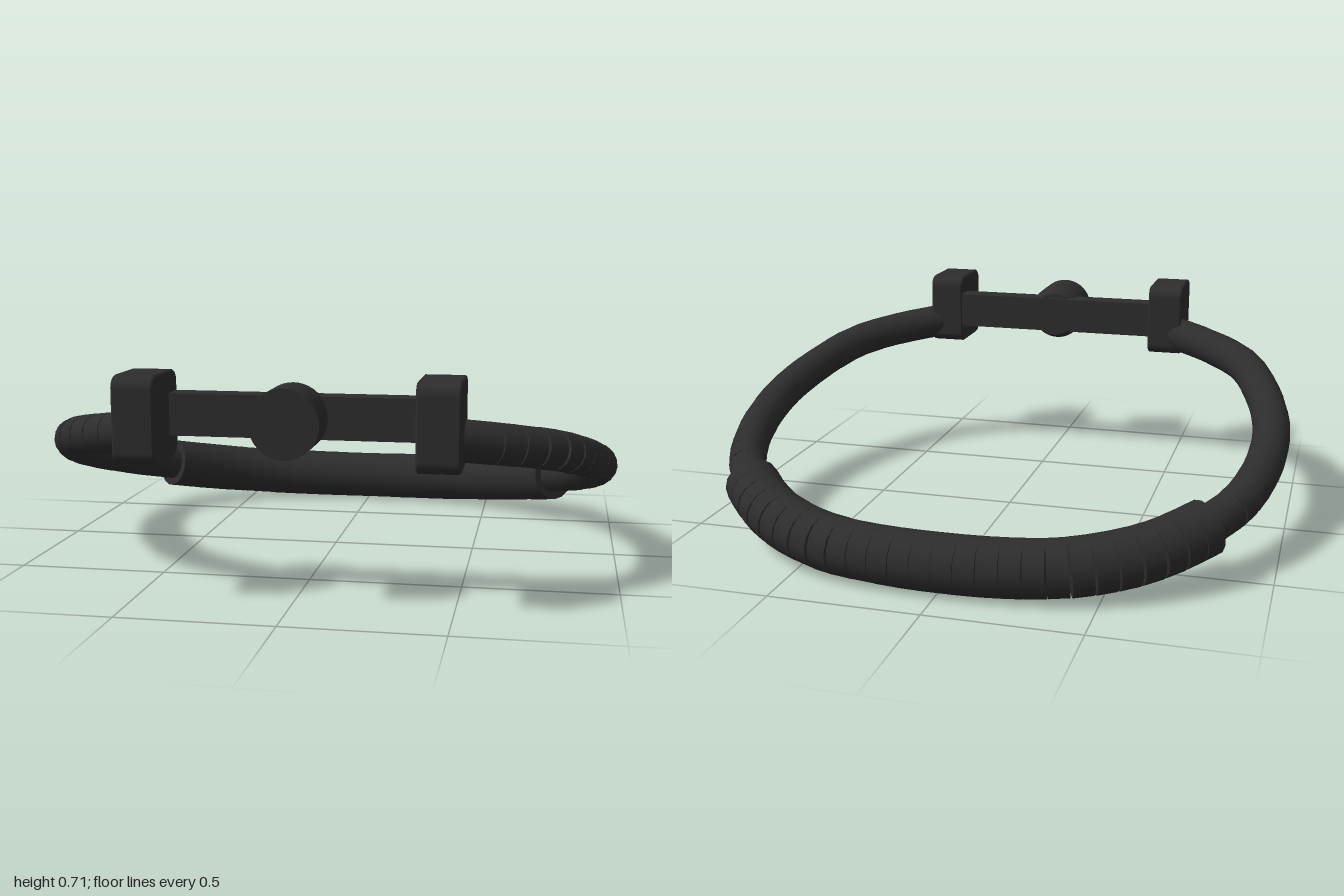
import * as THREE from 'three';

const rubber = new THREE.MeshStandardMaterial({ color: 0x2d2d2d });
rubber.name = 'dark grey';

function add(parent, name, geometry) {
  const mesh = new THREE.Mesh(geometry, rubber);
  mesh.name = name;
  parent.add(mesh);
  return mesh;
}

// The loop lies in a plane that slopes down towards the back
const onLoop = ([x, z]) => new THREE.Vector3(x, 0.318 + 0.275 * z, z);

// Chain of straight sleeves along a curve, opening slightly on the outside of the bend
function sleeveChain(name, points, radius, count) {
  const group = new THREE.Group();
  group.name = name;
  const curve = new THREE.CatmullRomCurve3(points.map(onLoop), false, 'centripetal');
  const stops = curve.getSpacedPoints(count);
  const up = new THREE.Vector3(0, 1, 0);
  for (let i = 0; i < count; i++) {
    const dir = stops[i + 1].clone().sub(stops[i]);
    const geometry = new THREE.CylinderGeometry(radius, radius, dir.length(), 16);
    const sleeve = add(group, name + 'Segment', geometry);
    sleeve.position.copy(stops[i]).addScaledVector(dir, 0.5);
    sleeve.quaternion.setFromUnitVectors(up, dir.normalize());
  }
  return group;
}

// Block with corners rounded in the side profile, extruded along x
function blockGeometry(width, height, depth, r) {
  const w = depth / 2, h = height / 2;
  const s = new THREE.Shape();
  s.moveTo(-w + r, -h);
  s.lineTo(w - r, -h);
  s.absarc(w - r, -h + r, r, -Math.PI / 2, 0);
  s.absarc(w - r, h - r, r, 0, Math.PI / 2);
  s.absarc(-w + r, h - r, r, Math.PI / 2, Math.PI);
  s.absarc(-w + r, -h + r, r, Math.PI, Math.PI * 1.5);
  const bevel = 0.005;
  return new THREE.ExtrudeGeometry(s, {
    depth: width - 2 * bevel, curveSegments: 6,
    bevelThickness: bevel, bevelSize: bevel, bevelOffset: -bevel, bevelSegments: 1,
  }).translate(0, 0, -width / 2 + bevel).rotateY(Math.PI / 2);
}

export function createModel() {
  const model = new THREE.Group();
  model.name = 'handlebarLoop';

  // Thin side tubes and end blocks, mirrored
  const side = [[0.47, 0.735], [0.53, 0.7], [0.66, 0.62], [0.79, 0.5], [0.88, 0.3], [0.925, 0.12],
    [0.935, 0], [0.92, -0.19], [0.86, -0.39], [0.76, -0.54]];
  for (const [label, m] of [['left', 1], ['right', -1]]) {
    model.add(sleeveChain(label + 'Tube', side.map(([x, z]) => [m * x, z]), 0.065, 20));
    add(model, label + 'Block', blockGeometry(0.13, 0.27, 0.245, 0.04))
      .position.set(m * 0.455, 0.575, 0.783);
  }

  // Thick grip around the back
  const half = [[0.78, -0.515], [0.69, -0.61], [0.58, -0.695], [0.4, -0.776], [0.2, -0.81]];
  const grip = [...half, [0, -0.818], ...half.map(([x, z]) => [-x, z]).reverse()];
  model.add(sleeveChain('backGrip', grip, 0.094, 26));

  // Cross bar between the blocks
  add(model, 'crossBar', new THREE.BoxGeometry(0.82, 0.132, 0.08)).position.set(0, 0.575, 0.705);

  // Round knob with a tapered rear edge
  const body = new THREE.CylinderGeometry(0.107, 0.107, 0.15, 40).rotateX(Math.PI / 2);
  add(model, 'knob', body).position.set(0, 0.575, 0.81);
  const taper = new THREE.CylinderGeometry(0.107, 0.086, 0.055, 40).rotateX(Math.PI / 2);
  add(model, 'knobTaper', taper).position.set(0, 0.575, 0.7075);

  return model;
}
